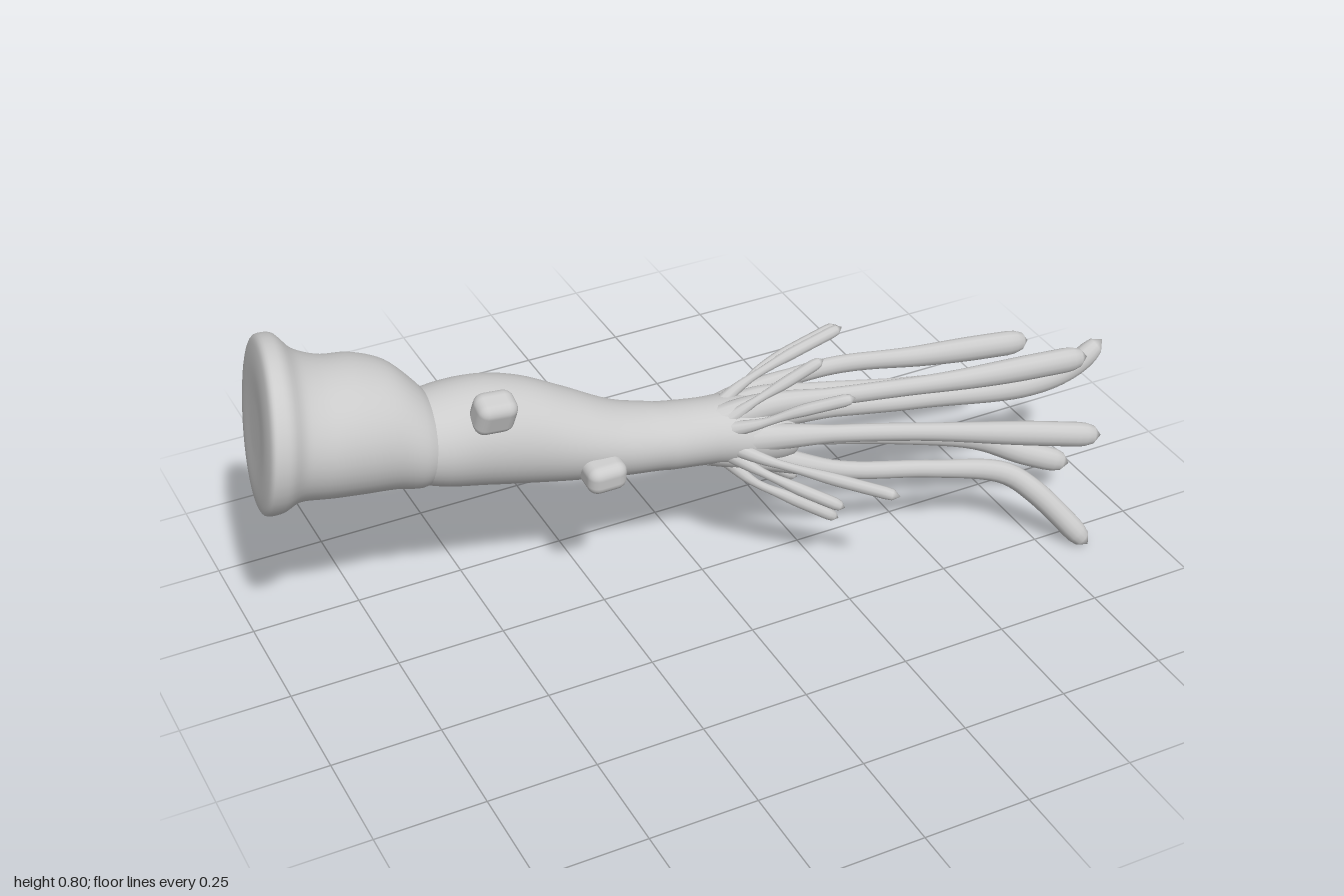
import * as THREE from 'three';
import { mergeVertices } from 'three/addons/utils/BufferGeometryUtils.js';
import { RoundedBoxGeometry } from 'three/addons/geometries/RoundedBoxGeometry.js';

const material = new THREE.MeshStandardMaterial({ color: 0xcccccc });
const V = (p) => new THREE.Vector3(...p);
const smooth = THREE.MathUtils.smoothstep;

function addMesh(group, name, geometry) {
  const mesh = new THREE.Mesh(geometry, material);
  mesh.name = name;
  group.add(mesh);
  return mesh;
}

// Closed skin through elliptical sections [x, yMin, yMax, zMin, zMax, tilt]
function loft(rows, steps = 5, sides = 40) {
  const a = rows.map((r) => new THREE.Vector3(r[0], r[1], r[2]));
  const b = rows.map((r) => new THREE.Vector3(r[3], r[4], r[5]));
  const ca = new THREE.CatmullRomCurve3(a, false, 'centripetal');
  const cb = new THREE.CatmullRomCurve3(b, false, 'centripetal');
  const n = (rows.length - 1) * steps;
  const pos = [], index = [];
  for (let i = 0; i <= n; i++) {
    const p = ca.getPoint(i / n), q = cb.getPoint(i / n);
    const cy = (p.y + p.z) / 2, ry = (p.z - p.y) / 2;
    const cz = (q.x + q.y) / 2, rz = (q.y - q.x) / 2;
    for (let j = 0; j < sides; j++) {
      const t = (j / sides) * Math.PI * 2;
      const dy = Math.cos(t) * ry, dz = Math.sin(t) * rz;
      pos.push(p.x + q.z * (dy * 0.13 - dz * 0.16), cy + dy, cz + dz);
      if (i < n) {
        const k = i * sides + j, m = i * sides + ((j + 1) % sides);
        index.push(k, m, k + sides, m, m + sides, k + sides);
      }
    }
  }
  // End caps
  for (const i of [0, n]) {
    const r = rows[i ? rows.length - 1 : 0], c = pos.length / 3;
    pos.push(r[0], (r[1] + r[2]) / 2, (r[3] + r[4]) / 2);
    for (let j = 0; j < sides; j++) {
      const k = i * sides + j, m = i * sides + ((j + 1) % sides);
      index.push(...(i ? [c, k, m] : [c, m, k]));
    }
  }
  const g = new THREE.BufferGeometry();
  g.setAttribute('position', new THREE.Float32BufferAttribute(pos, 3));
  g.setIndex(index);
  g.computeVertexNormals();
  return g;
}

// Round-tipped tube, taller than wide, whose radius follows a function of t
function taperedTube(points, radius, height, n = 48, sides = 14) {
  const curve = new THREE.CatmullRomCurve3(points.map(V), false, 'centripetal');
  const length = curve.getLength();
  const g = new THREE.TubeGeometry(curve, n, 1, sides);
  const pos = g.attributes.position, v = new THREE.Vector3();
  for (let i = 0; i <= n; i++) {
    const t = i / n, c = curve.getPointAt(t);
    const r = radius(t), left = Math.min(1, ((1 - t) * length) / (r * 2.4));
    const s = r * Math.sqrt(Math.max(0, 1 - (1 - left) ** 2));
    for (let j = 0; j <= sides; j++) {
      const k = i * (sides + 1) + j;
      v.fromBufferAttribute(pos, k).sub(c).multiplyScalar(s);
      pos.setXYZ(k, c.x + v.x, c.y + v.y * height, c.z + v.z);
    }
  }
  g.deleteAttribute('normal');
  g.deleteAttribute('uv');
  const merged = mergeVertices(g, 1e-5);
  merged.computeVertexNormals();
  return merged;
}

export function createModel() {
  const group = new THREE.Group();

  // Flared end with its bulging sleeve
  addMesh(group, 'flaredSleeve', loft([
    [-0.972, 0.56, 0.66, -0.19, -0.09, 1],
    [-0.972, 0.46, 0.77, -0.295, 0.01, 1],
    [-0.96, 0.428, 0.803, -0.325, 0.045, 1],
    [-0.93, 0.427, 0.80, -0.325, 0.05, 1],
    [-0.89, 0.445, 0.76, -0.29, 0.035, 1],
    [-0.84, 0.44, 0.735, -0.28, 0.037, 1],
    [-0.76, 0.425, 0.718, -0.277, 0.035, 0.9],
    [-0.69, 0.417, 0.69, -0.25, 0.03, 0.8],
    [-0.64, 0.412, 0.645, -0.208, 0.03, 0.7],
    [-0.61, 0.425, 0.61, -0.18, 0.02, 0.6],
  ]));

  // Long tapering arm, narrowing into the palm
  addMesh(group, 'arm', loft([
    [-0.68, 0.44, 0.61, -0.18, 0.01, 0.7],
    [-0.61, 0.409, 0.624, -0.192, 0.028, 0.7],
    [-0.5, 0.38, 0.625, -0.192, 0.04, 0.6],
    [-0.4, 0.36, 0.60, -0.178, 0.05, 0.5],
    [-0.3, 0.35, 0.555, -0.148, 0.066, 0.4],
    [-0.2, 0.343, 0.51, -0.108, 0.077, 0.2],
    [-0.1, 0.333, 0.485, -0.083, 0.085, 0],
    [0, 0.322, 0.472, -0.07, 0.092, 0],
    [0.06, 0.31, 0.467, -0.072, 0.105, 0],
    [0.13, 0.298, 0.455, -0.068, 0.115, 0],
    [0.18, 0.3, 0.43, -0.055, 0.11, 0],
    [0.21, 0.325, 0.39, -0.02, 0.085, 0],
  ]));

  // Long fingers
  const fingers = [
    [[0, 0.42, 0.03], [0.12, 0.45, 0.055], [0.35, 0.446, 0.1], [0.6, 0.43, 0.135], [0.91, 0.42, 0.168]],
    [[0, 0.41, 0.04], [0.15, 0.422, 0.06], [0.5, 0.372, 0.085], [0.8, 0.335, 0.1], [0.92, 0.35, 0.1], [1.0, 0.402, 0.1]],
    [[0, 0.41, 0.0], [0.15, 0.432, 0.0], [0.5, 0.372, 0.02], [0.75, 0.33, 0.042], [0.95, 0.312, 0.053]],
    [[0, 0.4, -0.02], [0.12, 0.415, -0.05], [0.35, 0.42, -0.064], [0.6, 0.385, -0.053], [0.89, 0.35, -0.043]],
    [[0, 0.39, 0.05], [0.15, 0.39, 0.1], [0.4, 0.355, 0.15], [0.7, 0.29, 0.2], [0.91, 0.25, 0.25]],
    [[0, 0.37, 0.04], [0.12, 0.328, 0.075], [0.3, 0.264, 0.12], [0.5, 0.228, 0.16], [0.68, 0.185, 0.2], [0.74, 0.14, 0.237], [0.85, 0.003, 0.323]],
    [[0, 0.37, -0.01], [0.12, 0.318, -0.038], [0.3, 0.262, -0.035], [0.5, 0.225, 0.005], [0.7, 0.185, 0.055], [0.8, 0.142, 0.1], [0.91, 0.1, 0.138]],
  ];
  const fingerRadius = (t) =>
    0.0175 + 0.018 * Math.max(0, 1 - t * 3.5) + 0.007 * smooth(t, 0.5, 0.85);
  fingers.forEach((path, i) => addMesh(group, `finger${i + 1}`, taperedTube(path, fingerRadius, 1.25)));

  // Short bent spurs around the wrist, swelling beyond the bend
  const spurs = [
    [[0.02, 0.43, 0], [0.09, 0.475, -0.005], [0.18, 0.512, -0.005], [0.36, 0.553, -0.015]],
    [[0.02, 0.43, 0.05], [0.09, 0.475, 0.065], [0.16, 0.505, 0.07], [0.26, 0.55, 0.08]],
    [[0.02, 0.4, -0.05], [0.12, 0.405, -0.075], [0.2, 0.425, -0.115], [0.43, 0.46, -0.155]],
    [[0.02, 0.39, 0.06], [0.09, 0.362, 0.125], [0.16, 0.345, 0.185], [0.325, 0.312, 0.325]],
    [[0.02, 0.37, 0.06], [0.08, 0.33, 0.115], [0.14, 0.295, 0.155], [0.25, 0.235, 0.215]],
    [[0.02, 0.36, -0.03], [0.08, 0.29, -0.045], [0.15, 0.236, -0.06], [0.275, 0.143, -0.053]],
    [[0.02, 0.35, 0.04], [0.08, 0.285, 0.09], [0.15, 0.24, 0.12], [0.27, 0.16, 0.153]],
    [[0.02, 0.42, 0.06], [0.09, 0.445, 0.105], [0.16, 0.475, 0.14], [0.28, 0.508, 0.192]],
  ];
  const spurRadius = (t) =>
    0.009 + 0.01 * Math.max(0, 1 - t * 3) + 0.004 * smooth(t, 0.4, 0.65);
  spurs.forEach((path, i) => addMesh(group, `spur${i + 1}`, taperedTube(path, spurRadius, 1.15, 24, 10)));

  // Stubby rounded blocks standing out of the arm
  const pegs = [
    [[-0.505, 0.56, 0.0], [-0.495, 0.642, 0.03]],
    [[-0.275, 0.415, 0.02], [-0.275, 0.405, 0.11]],
    [[-0.365, 0.482, -0.125], [-0.392, 0.463, -0.218]],
  ];
  for (const [from, to] of pegs) {
    const dir = V(to).sub(V(from)), len = dir.length();
    const peg = addMesh(group, 'peg', new RoundedBoxGeometry(0.092, len, 0.07, 3, 0.025));
    peg.position.copy(V(from).add(V(to)).multiplyScalar(0.5));
    peg.quaternion.setFromUnitVectors(new THREE.Vector3(0, 1, 0), dir.normalize());
  }
  return group;
}
